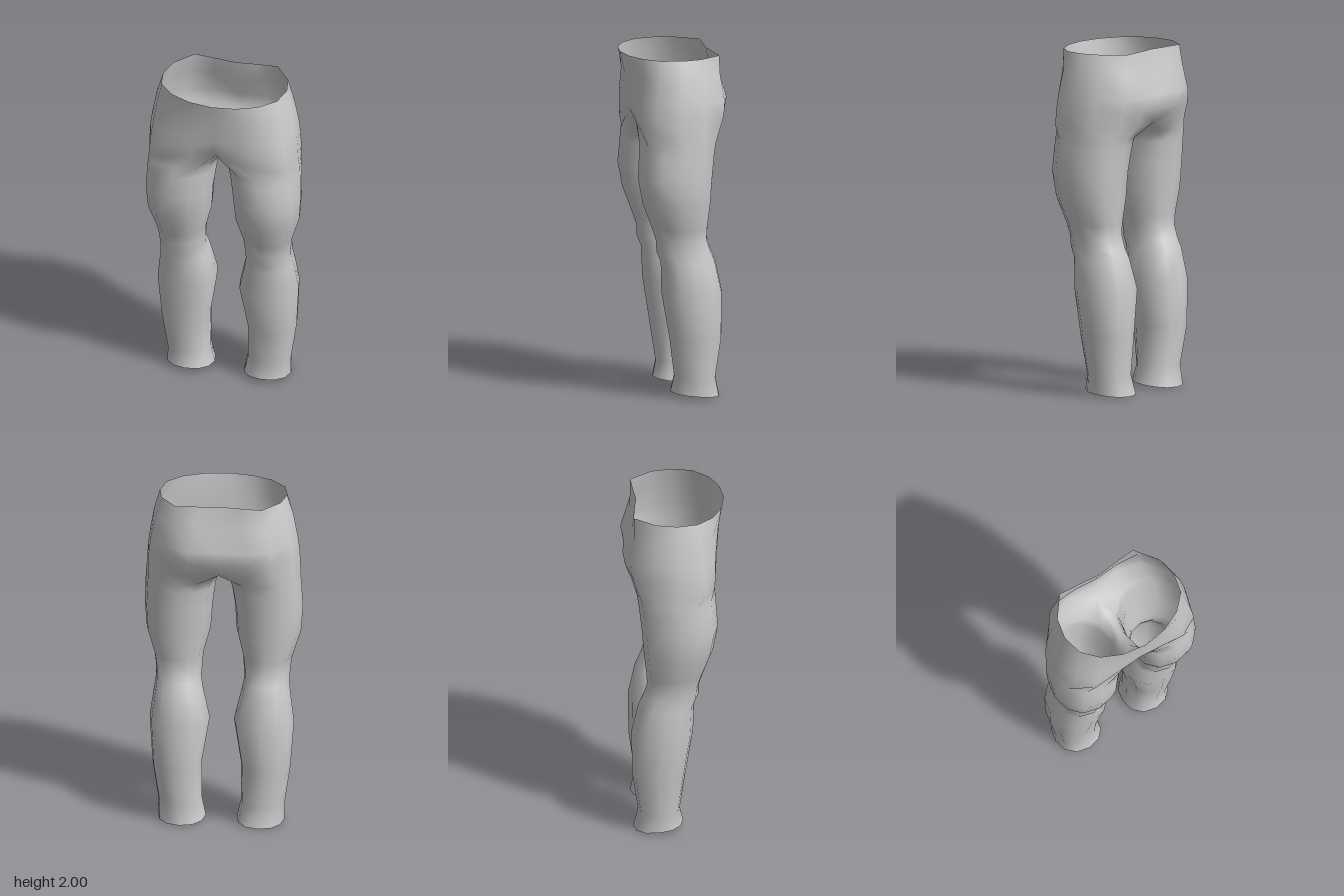
import * as THREE from 'three';
import { mergeVertices } from 'three/addons/utils/BufferGeometryUtils.js';

// Half pelvis rings, [x, z] from front centre round the left side to back centre
const PELVIS = [
  { y: 2.0, ring: [[0, 0.295], [0.14, 0.275], [0.26, 0.22], [0.345, 0.13], [0.37, 0.01], [0.345, -0.11], [0.25, -0.235], [0.12, -0.225], [0, -0.212]] },
  { y: 1.88, ring: [[0, 0.27], [0.14, 0.257], [0.27, 0.22], [0.37, 0.145], [0.405, 0.02], [0.38, -0.115], [0.28, -0.235], [0.14, -0.245], [0, -0.235]] },
  { y: 1.74, ring: [[0, 0.25], [0.14, 0.25], [0.28, 0.235], [0.39, 0.165], [0.43, 0.03], [0.41, -0.115], [0.305, -0.255], [0.17, -0.297], [0, -0.288]] },
  { y: 1.66, ring: [[0, 0.238], [0.14, 0.246], [0.29, 0.235], [0.4, 0.17], [0.441, 0.03], [0.42, -0.115], [0.31, -0.25], [0.17, -0.283], [0, -0.275]] },
];

// Ring where the legs part; the last three points run under the crotch
const CROTCH = [
  [0, 1.615, 0.205], [0.15, 1.59, 0.228], [0.295, 1.57, 0.232], [0.408, 1.57, 0.172],
  [0.446, 1.57, 0.03], [0.425, 1.57, -0.115], [0.315, 1.57, -0.222], [0.17, 1.565, -0.245],
  [0, 1.575, -0.232], [0, 1.545, -0.13], [0, 1.53, -0.02], [0, 1.55, 0.1],
];

// Leg rings: [y, inner x, outer x, front z, back z]
const LEG = [
  [1.5, 0.03, 0.45, 0.236, -0.218],
  [1.44, 0.045, 0.454, 0.24, -0.208],
  [1.3, 0.065, 0.46, 0.25, -0.192],
  [1.15, 0.075, 0.45, 0.222, -0.18],
  [1.0, 0.115, 0.402, 0.165, -0.163],
  [0.93, 0.12, 0.392, 0.142, -0.16],
  [0.86, 0.125, 0.388, 0.138, -0.183],
  [0.8, 0.113, 0.395, 0.113, -0.21],
  [0.62, 0.07, 0.42, 0.107, -0.25],
  [0.35, 0.115, 0.402, 0.062, -0.245],
  [0.12, 0.112, 0.368, 0.03, -0.212],
  [0, 0.09, 0.368, 0.05, -0.238],
];

const soften = (v) => Math.sign(v) * Math.abs(v) ** 0.9;

// Twelve points in the same column order as the crotch ring
function legRing([y, xi, xo, zf, zb]) {
  return CROTCH.map((_, i) => {
    const a = ((4 - i) * Math.PI) / 6;
    const x = (xi + xo) / 2 + ((xo - xi) / 2) * soften(Math.cos(a));
    const z = (zf + zb) / 2 + ((zf - zb) / 2) * soften(Math.sin(a));
    // the hem rises a little towards the front
    const lift = y === 0 ? 0.015 + 0.015 * Math.sin(a) : 0;
    return [x, y + lift, z];
  });
}

function trouserGeometry() {
  const rows = [
    ...PELVIS.map(({ y, ring }) => ring.map(([x, z]) => [x, y, z])),
    CROTCH,
    ...LEG.map(legRing),
  ];
  const positions = [];
  for (const side of [1, -1]) {
    const tri = (a, b, c) => {
      for (const [x, y, z] of side > 0 ? [a, b, c] : [a, c, b]) positions.push(side * x, y, z);
    };
    for (let r = 0; r < rows.length - 1; r++) {
      const up = rows[r], low = rows[r + 1];
      // pelvis rows stop at the centre line, leg rows close on themselves
      const count = r < PELVIS.length ? up.length - 1 : up.length;
      for (let i = 0; i < count; i++) {
        const j = (i + 1) % up.length;
        tri(up[i], low[i], low[j]);
        tri(up[i], low[j], up[j]);
      }
    }
  }
  const geometry = new THREE.BufferGeometry();
  geometry.setAttribute('position', new THREE.Float32BufferAttribute(positions, 3));
  // weld the halves so shading runs smoothly across the centre
  const welded = mergeVertices(geometry, 1e-4);
  welded.computeVertexNormals();
  return welded;
}

export function createModel() {
  const group = new THREE.Group();
  group.name = 'trousers';
  const cloth = new THREE.MeshStandardMaterial({ color: 0xcccccc, side: THREE.DoubleSide });
  const mesh = new THREE.Mesh(trouserGeometry(), cloth);
  mesh.name = 'pelvisAndLegs';
  group.add(mesh);
  return group;
}
